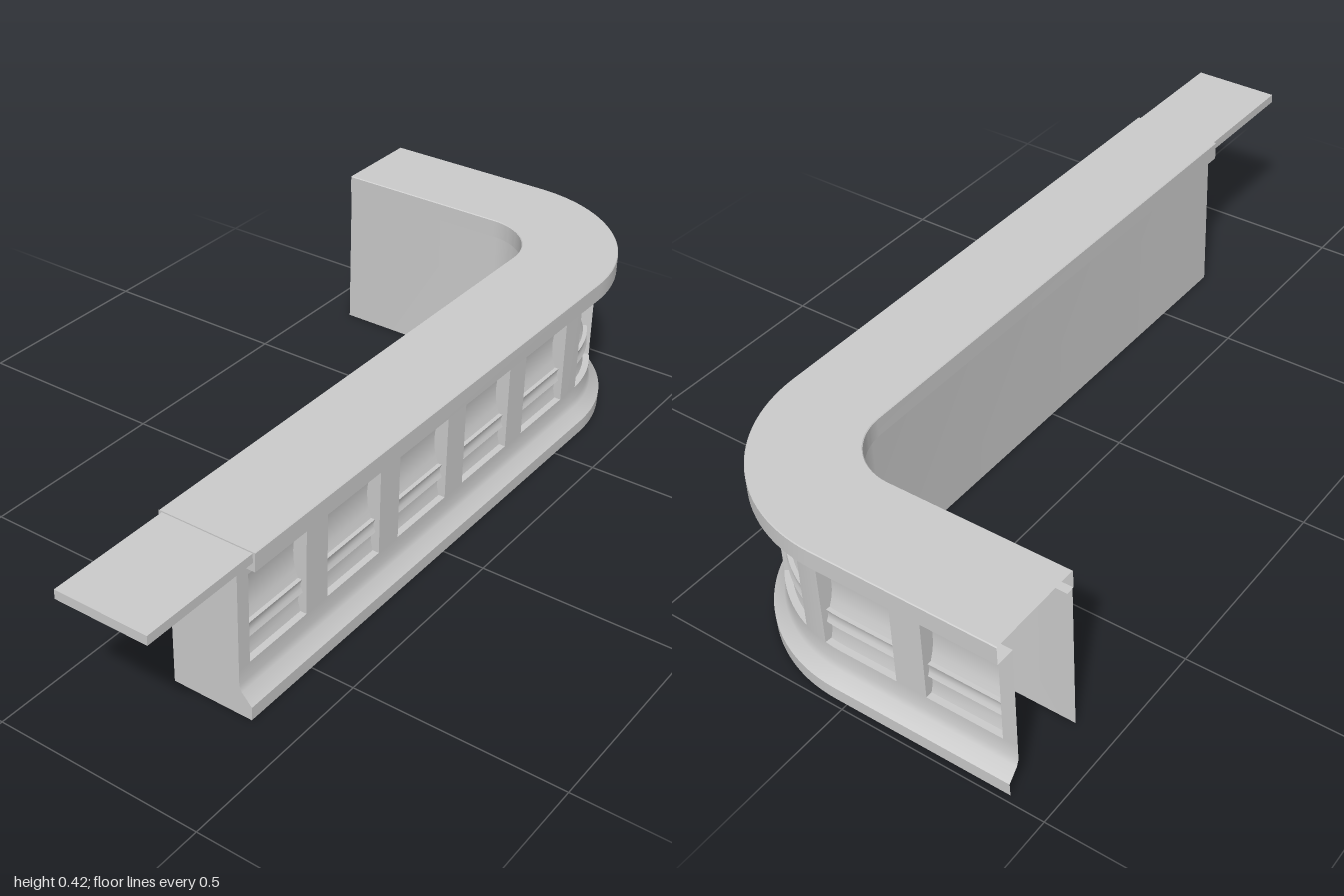
import * as THREE from 'three';
import { toCreasedNormals } from 'three/addons/utils/BufferGeometryUtils.js';

const material = new THREE.MeshStandardMaterial({ color: 0xcccccc, side: THREE.DoubleSide });

// The counter follows an L-shaped path around a bend centre.
// s runs along the front face, d is the distance outwards from the bend centre.
const CX = 0.62, CZ = 0.03, FACE = 0.335;
const BEND = FACE * Math.PI / 2;
const START = -1.32, END = BEND + 0.44;

function place(s, d, y) {
  if (s <= 0) return [CX + s, y, CZ + d];
  if (s >= BEND) return [CX + d, y, CZ - (s - BEND)];
  const a = s / FACE;
  return [CX + d * Math.sin(a), y, CZ + d * Math.cos(a)];
}

// Stations along the path, dense only in the bend
function stations(a, b) {
  const list = [a];
  for (let i = 0; i <= 28; i++) {
    const s = BEND * i / 28;
    if (s > a + 1e-4 && s < b - 1e-4) list.push(s);
  }
  list.push(b);
  return list;
}

// Surface through a grid of points: rows[i][j]
function grid(name, rows) {
  const n = rows[0].length, index = [];
  for (let i = 0; i < rows.length - 1; i++) {
    for (let j = 0; j < n - 1; j++) {
      const a = i * n + j, b = a + n;
      index.push(a, b, b + 1, a, b + 1, a + 1);
    }
  }
  const geometry = new THREE.BufferGeometry();
  geometry.setAttribute('position', new THREE.Float32BufferAttribute(rows.flat(2), 3));
  geometry.setIndex(index);
  const mesh = new THREE.Mesh(toCreasedNormals(geometry, 0.6), material);
  mesh.name = name;
  return mesh;
}

// Sweep a [d, y] profile along the path
function sweep(name, profile, a, b) {
  return grid(name, stations(a, b).map(s => profile.map(([d, y]) => place(s, d, y))));
}

// Flat cross wall at station s between two matching [d, y] profiles
function wall(name, s, inner, outer) {
  return grid(name, [inner, outer].map(p => p.map(([d, y]) => place(s, d, y))));
}

export function createModel() {
  const model = new THREE.Group();
  const low = 0.112, high = 0.347, top = 0.375;

  // Skirting and lower front
  const skirting = [[0.365, 0], [0.366, 0.033], [0.341, 0.06], [0.335, 0.075], [FACE, low]];
  model.add(sweep('skirting', skirting, START, END));
  model.add(sweep('upperRail', [[FACE, high], [FACE, top]], START, END));

  // Recessed panels: five on the long run, two in the bend, two on the short arm
  const windows = [];
  for (let i = 0; i < 5; i++) windows.push([-1.285 + i * 0.26, -1.097 + i * 0.26]);
  windows.push([0.015, 0.19], [0.247, 0.422], [BEND - 0.04, BEND + 0.145], [BEND + 0.22, BEND + 0.405]);

  // Panel profile as [depth, y]: flat foot, scooped ledge, hollow field, stepped head
  const recess = [
    [0, low], [0.016, low], [0.022, 0.135], [0.02, 0.163],
    [0.01, 0.163], [0.014, 0.172], [0.016, 0.182], [0.012, 0.195],
    [0.022, 0.195], [0.029, 0.215], [0.033, 0.235], [0.034, 0.26], [0.032, 0.285], [0.028, 0.305],
    [0.02, 0.305], [0.02, 0.325], [0.012, 0.325], [0.012, high], [0, high],
  ].map(([depth, y]) => [FACE - depth, y]);
  const edge = recess.map(([, y]) => [FACE, y]);

  let previous = START;
  for (const [a, b] of windows) {
    model.add(sweep('pillar', [[FACE, low], [FACE, high]], previous, a));
    const panel = new THREE.Group();
    panel.name = 'recessedPanel';
    panel.add(sweep('panelFace', recess, a, b));
    panel.add(wall('panelSide', a, edge, recess), wall('panelSide', b, recess, edge));
    model.add(panel);
    previous = b;
  }
  model.add(sweep('pillar', [[FACE, low], [FACE, high]], previous, END));

  // Plain back panel, drifting slightly towards the counter edge through the bend
  const backDepth = s => THREE.MathUtils.lerp(0.165, 0.148, THREE.MathUtils.clamp(s / BEND, 0, 1));
  model.add(grid('backPanel', stations(START, END).map(s =>
    [top, 0].map(y => place(s, backDepth(s), y)))));

  // Closed left end of the body
  const endOuter = [...skirting, [FACE, top]];
  model.add(wall('endPanel', START, endOuter.map(([, y]) => [0.165, y]), endOuter));

  // Hollow countertop with overhanging lips, closed at the left end
  model.add(sweep('countertop', [
    [FACE, top], [0.38, top], [0.38, 0.418], [0.378, 0.42],
    [0.147, 0.42], [0.145, 0.418], [0.145, top], [0.165, top],
  ], START, END));
  model.add(wall('countertopEnd', START, [[0.145, top], [0.145, 0.42]], [[0.38, top], [0.38, 0.42]]));

  // Thin flap extending the counter
  const flap = new THREE.Mesh(new THREE.BoxGeometry(0.3, 0.022, 0.222), material);
  flap.name = 'counterFlap';
  flap.position.set(-0.85, 0.406, 0.294);
  model.add(flap);

  return model;
}
